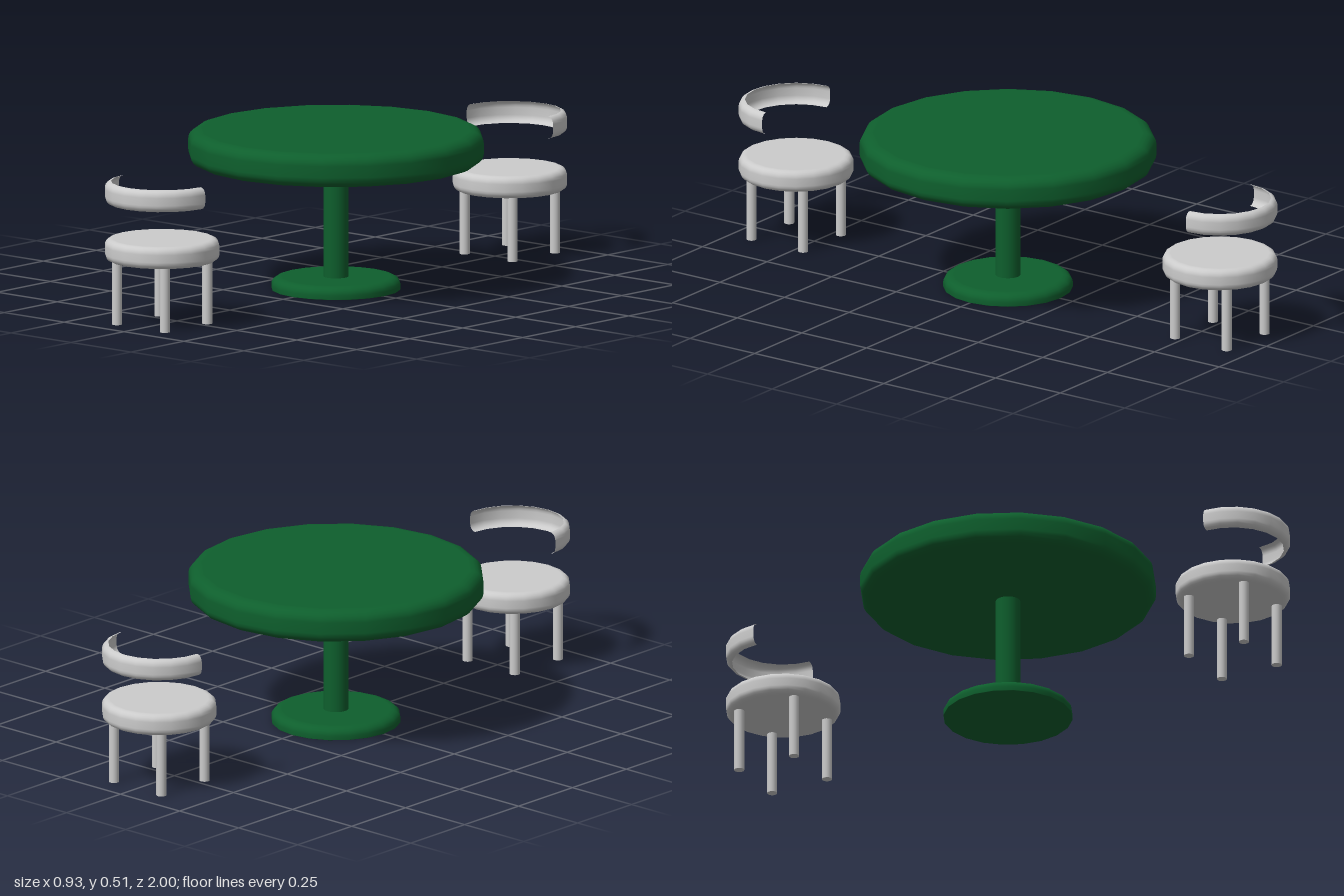
import * as THREE from 'three';

const SIDES = 20;
const green = new THREE.MeshStandardMaterial({ color: 0x0e5f2d });
const grey = new THREE.MeshStandardMaterial({ color: 0xcccccc });
const greyThin = new THREE.MeshStandardMaterial({ color: 0xcccccc, side: THREE.DoubleSide });

// Rounded rim running from bottom to top; bottom rounding is optional
function rim(radius, y0, y1, bevelX, bevelY, roundBottom = true) {
  const pts = [];
  const arc = (cy, from, to) => {
    for (let i = 0; i <= 5; i++) {
      const a = from + (to - from) * i / 5;
      pts.push(new THREE.Vector2(radius - bevelX + bevelX * Math.cos(a), cy + bevelY * Math.sin(a)));
    }
  };
  if (roundBottom) arc(y0 + bevelY, -Math.PI / 2, 0);
  else pts.push(new THREE.Vector2(radius - 0.001, y0), new THREE.Vector2(radius, y0 + 0.001));
  arc(y1 - bevelY, 0, Math.PI / 2);
  return pts;
}

// Closed disc: the rim plus flat caps, with a support loop that keeps the caps flat
function disc(radius, y0, y1, bevelX, bevelY, roundBottom) {
  const pts = rim(radius, y0, y1, bevelX, bevelY, roundBottom);
  const inset = 0.003;
  pts.unshift(new THREE.Vector2(0, y0), new THREE.Vector2(pts[0].x - inset, y0));
  pts.push(new THREE.Vector2(pts[pts.length - 1].x - inset, y1), new THREE.Vector2(0, y1));
  return new THREE.LatheGeometry(pts, SIDES);
}

function add(parent, name, geometry, material) {
  const mesh = new THREE.Mesh(geometry, material);
  mesh.name = name;
  parent.add(mesh);
  return mesh;
}

function createTable() {
  const table = new THREE.Group();
  table.name = 'table';
  add(table, 'tableTop', disc(0.464, 0.4, 0.506, 0.04, 0.035, true), green);
  add(table, 'column', new THREE.CylinderGeometry(0.039, 0.039, 0.41, SIDES), green).position.y = 0.205;
  add(table, 'base', disc(0.203, 0, 0.039, 0.03, 0.025, false), green);
  return table;
}

// Chair with its back towards +z
function createChair(name) {
  const chair = new THREE.Group();
  chair.name = name;
  add(chair, 'seat', disc(0.18, 0.203, 0.273, 0.022, 0.023, true), grey);

  // Open half-ring backrest
  const back = new THREE.LatheGeometry(rim(0.18, 0.384, 0.454, 0.02, 0.023), SIDES / 2, -Math.PI / 2, Math.PI);
  add(chair, 'backrest', back, greyThin);

  const legGeometry = new THREE.CylinderGeometry(0.016, 0.016, 0.21, 16);
  for (const x of [-0.1, 0.1]) {
    for (const z of [-0.1, 0.1]) {
      add(chair, 'leg', legGeometry, grey).position.set(x, 0.105, z);
    }
  }
  return chair;
}

export function createModel() {
  const model = new THREE.Group();
  model.name = 'diningSet';
  model.add(createTable());

  const frontChair = createChair('frontChair');
  frontChair.position.z = 0.82;
  const rearChair = createChair('rearChair');
  rearChair.position.z = -0.82;
  rearChair.rotation.y = Math.PI;
  model.add(frontChair, rearChair);
  return model;
}
